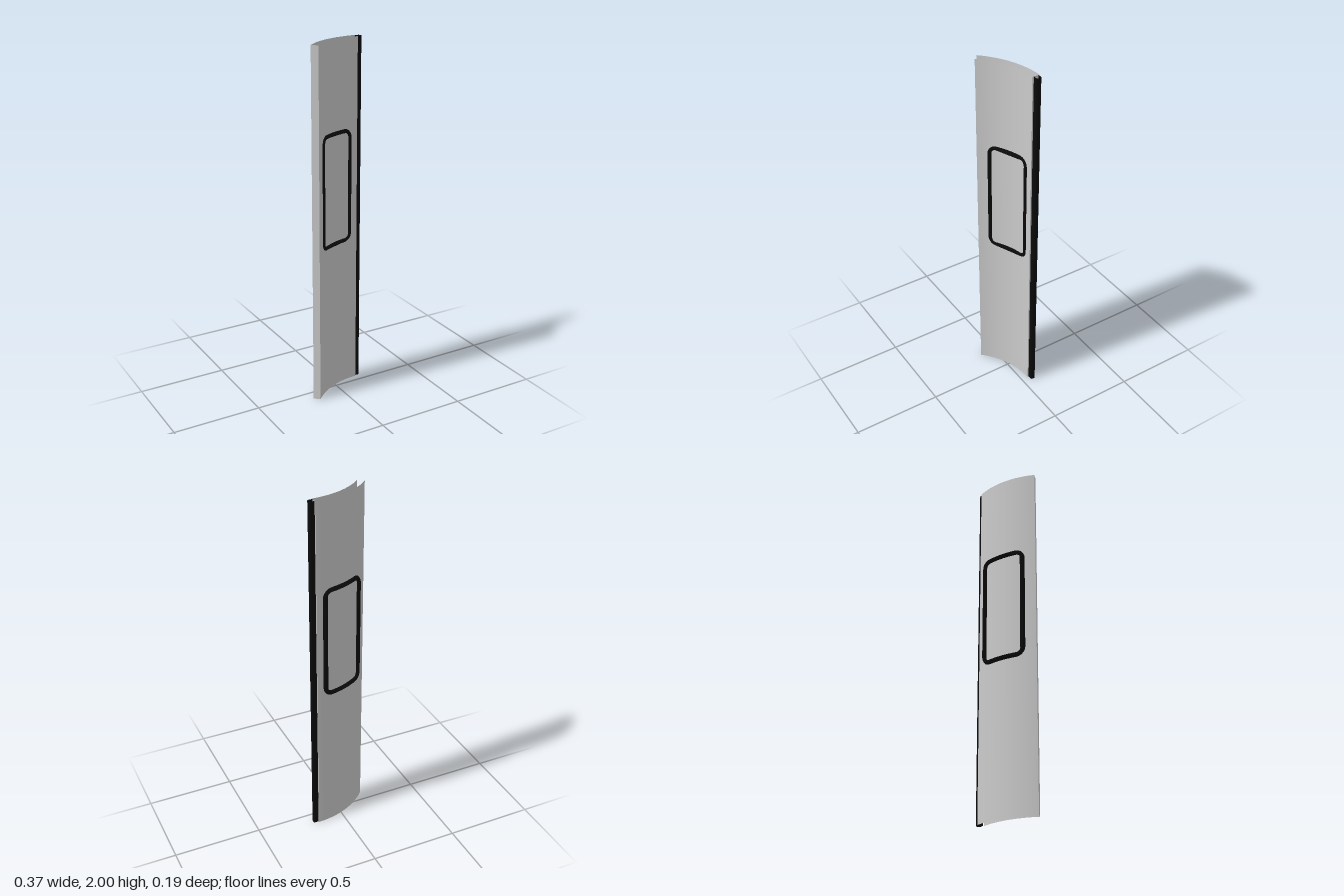
import * as THREE from 'three';
import { toCreasedNormals } from 'three/addons/utils/BufferGeometryUtils.js';

const HEIGHT = 2;
const CX = 0.155, CZ = 0.386;            // axis the panel curves around
const R_IN = 0.428, R_OUT = 0.468;       // inner and outer skin
const SWEEP = THREE.MathUtils.degToRad(46.6);

const grey = new THREE.MeshStandardMaterial({ color: 0xcccccc });
const skinGrey = new THREE.MeshStandardMaterial({ color: 0xcccccc, side: THREE.DoubleSide });
const black = new THREE.MeshStandardMaterial({ color: 0x0a0a0a });
const sealBlack = new THREE.MeshStandardMaterial({ color: 0x0a0a0a, side: THREE.DoubleSide });

// Plan position at a radius and angle, measured from the back towards -x
const onArc = (r, a) => [CX - r * Math.sin(a), CZ - r * Math.cos(a)];

// Full-height upright strip between two plan points
function wall(name, [x1, z1], [x2, z2], material) {
  const mesh = new THREE.Mesh(new THREE.PlaneGeometry(Math.hypot(x2 - x1, z2 - z1), HEIGHT), material);
  mesh.position.set((x1 + x2) / 2, HEIGHT / 2, (z1 + z2) / 2);
  mesh.rotation.y = Math.atan2(z1 - z2, x2 - x1);
  mesh.name = name;
  return mesh;
}

// Rounded rectangle whose long edges are subdivided so it can be bent
function roundedRect(hw, hh, r) {
  const corners = [[1, 1, 0], [-1, 1, 1], [-1, -1, 2], [1, -1, 3]];
  const points = [];
  for (const [sx, sy, q] of corners) {
    for (let i = 0; i <= 5; i++) {
      const a = (q + i / 5) * Math.PI / 2;
      points.push(new THREE.Vector2(sx * (hw - r) + r * Math.cos(a), sy * (hh - r) + r * Math.sin(a)));
    }
    if (sy === 1 && sx === 1 || sy === -1 && sx === -1) {
      for (let i = 1; i < 6; i++) {
        points.push(new THREE.Vector2(sx * (hw - r) * (1 - i / 3), sy * hh));
      }
    }
  }
  return points;
}

// Bevelled window surround, bent to follow the panel
function windowFrame() {
  const b = 0.008, bar = 0.026, hw = 0.135, hh = 0.325;
  const shape = new THREE.Shape(roundedRect(hw - b, hh - b, 0.045));
  shape.holes.push(new THREE.Path(roundedRect(hw - bar + b, hh - bar + b, 0.03).reverse()));
  const geo = new THREE.ExtrudeGeometry(shape, {
    depth: 0.042, bevelEnabled: true, bevelThickness: 0.01, bevelSize: b, bevelSegments: 1,
  });
  const pos = geo.attributes.position;
  const middle = THREE.MathUtils.degToRad(21.8);
  for (let i = 0; i < pos.count; i++) {
    const [x, z] = onArc(0.472 - pos.getZ(i), middle - pos.getX(i) / 0.45);
    pos.setXYZ(i, x, pos.getY(i) + 1.19, z);
  }
  const mesh = new THREE.Mesh(toCreasedNormals(geo, 0.5), black);
  mesh.name = 'windowFrame';
  return mesh;
}

export function createModel() {
  const model = new THREE.Group();
  model.name = 'curvedDoorPanel';

  // Inner and outer curved skins, open at top and bottom
  for (const [name, r] of [['innerSkin', R_IN], ['outerSkin', R_OUT]]) {
    const skin = new THREE.Mesh(
      new THREE.CylinderGeometry(r, r, HEIGHT, 24, 1, true, Math.PI, SWEEP), skinGrey);
    skin.position.set(CX, HEIGHT / 2, CZ);
    skin.name = name;
    model.add(skin);
  }

  // Upright edges joining the skins
  model.add(wall('hingeEdge', onArc(R_OUT, SWEEP), onArc(R_IN, SWEEP), grey));
  model.add(wall('sealEdge', onArc(R_IN, 0), onArc(R_OUT, 0), grey));

  // Rubber seal along the closing edge
  const seal = new THREE.Group();
  seal.name = 'edgeSeal';
  const profile = [[0.154, -0.049], [0.179, -0.049], [0.184, -0.054],
    [0.184, -0.071], [0.179, -0.076], [0.154, -0.076]];
  for (let i = 0; i < profile.length - 1; i++) {
    seal.add(wall('sealStrip', profile[i], profile[i + 1], sealBlack));
  }
  model.add(seal);

  model.add(windowFrame());
  return model;
}
